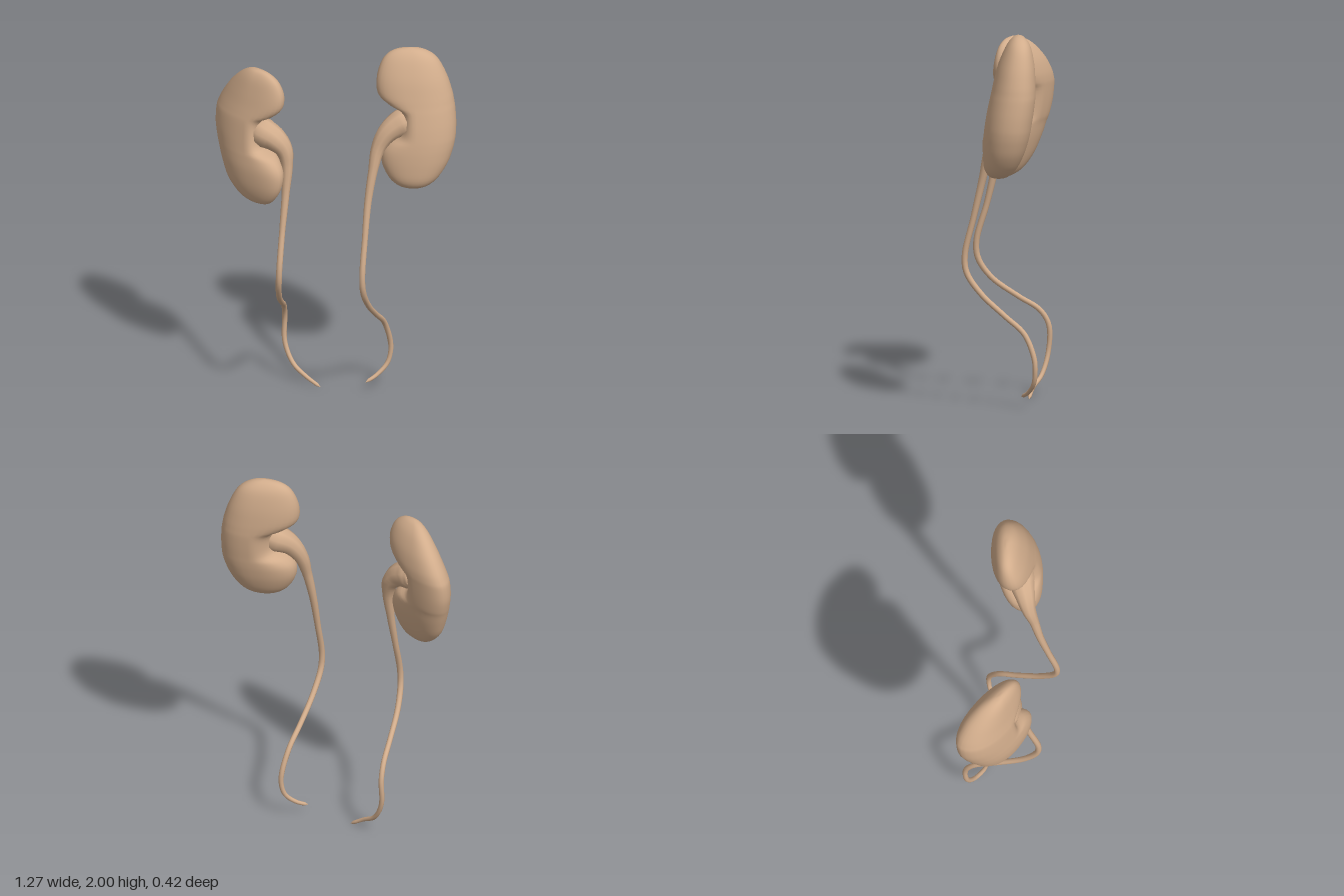
import * as THREE from 'three';
import { mergeVertices } from 'three/addons/utils/BufferGeometryUtils.js';

// Bean-shaped body from stacked oval sections.
// Each row: [y, inner x, outer x, centre z, half depth]; slope turns the sections about the pivot.
// The thickest line of the body bows outwards, so the notch only cuts the inner side.
function kidneyGeometry(rows, pivot, slope, bow, steps = 52, sides = 32) {
  const outline = new THREE.CatmullRomCurve3(
    rows.map(([y, a, b]) => new THREE.Vector3(a, y, b)), false, 'catmullrom', 0.5);
  const depth = new THREE.CatmullRomCurve3(
    rows.map(([, , , z, d]) => new THREE.Vector3(z, d, 0)), false, 'catmullrom', 0.5);
  const top = rows[0][1];
  const bottom = rows[rows.length - 1][1];
  const full = (s) => Math.sign(s) * Math.abs(s) ** 0.92;
  const positions = [];
  const index = [];
  for (let i = 0; i <= steps; i++) {
    const t = i / steps;
    const o = outline.getPoint(t);
    const d = depth.getPoint(t);
    const ridge = THREE.MathUtils.lerp(top, bottom, t) + bow * Math.sin(Math.PI * t);
    const left = Math.min(o.x, o.z);
    const right = Math.max(o.x, o.z);
    for (let j = 0; j < sides; j++) {
      const a = (j / sides) * Math.PI * 2;
      const c = full(Math.cos(a));
      const x = ridge + c * (c > 0 ? right - ridge : ridge - left);
      positions.push(x, o.y, d.x + d.y * full(Math.sin(a)) + slope * (x - pivot));
      if (i === steps) continue;
      const p = i * sides + j;
      const q = i * sides + ((j + 1) % sides);
      if (i > 0) index.push(p, q, p + sides);
      if (i < steps - 1) index.push(q, q + sides, p + sides);
    }
  }
  const geometry = new THREE.BufferGeometry();
  geometry.setAttribute('position', new THREE.Float32BufferAttribute(positions, 3));
  geometry.setIndex(index);
  const merged = mergeVertices(geometry, 1e-5);
  merged.computeVertexNormals();
  return merged;
}

// Tube whose radius follows the fourth number of each point: [x, y, z, radius]
function taperedTube(points, steps = 90, sides = 10) {
  const curve = new THREE.CatmullRomCurve3(points.map(([x, y, z]) => new THREE.Vector3(x, y, z)));
  const geometry = new THREE.TubeGeometry(curve, steps, 1, sides);
  const pos = geometry.attributes.position;
  const v = new THREE.Vector3();
  for (let i = 0; i <= steps; i++) {
    const u = i / steps;
    const centre = curve.getPointAt(u);
    const t = curve.getUtoTmapping(u) * (points.length - 1);
    const k = Math.min(Math.floor(t), points.length - 2);
    const closed = i === 0 || i === steps;
    const r = closed ? 0.0005 : THREE.MathUtils.lerp(points[k][3], points[k + 1][3], t - k);
    for (let j = 0; j <= sides; j++) {
      const n = i * (sides + 1) + j;
      v.fromBufferAttribute(pos, n).sub(centre).multiplyScalar(r).add(centre);
      pos.setXYZ(n, v.x, v.y, v.z);
    }
  }
  geometry.deleteAttribute('uv');
  geometry.deleteAttribute('normal');
  const merged = mergeVertices(geometry, 1e-5);
  merged.computeVertexNormals();
  return merged;
}

const leftKidney = [
  [2.0, 0.395, 0.395, -0.12, 0],
  [1.985, 0.31, 0.465, -0.12, 0.033],
  [1.94, 0.255, 0.53, -0.117, 0.065],
  [1.85, 0.225, 0.58, -0.106, 0.094],
  [1.76, 0.23, 0.61, -0.096, 0.109],
  [1.71, 0.28, 0.621, -0.09, 0.115],
  [1.67, 0.355, 0.628, -0.084, 0.119],
  [1.6, 0.37, 0.635, -0.072, 0.122],
  [1.54, 0.355, 0.636, -0.062, 0.122],
  [1.5, 0.295, 0.633, -0.056, 0.121],
  [1.45, 0.262, 0.623, -0.048, 0.117],
  [1.38, 0.265, 0.6, -0.036, 0.106],
  [1.305, 0.305, 0.555, -0.02, 0.084],
  [1.262, 0.36, 0.5, -0.01, 0.048],
  [1.248, 0.43, 0.43, -0.008, 0],
];

const rightKidney = [
  [1.862, -0.385, -0.385, -0.005, 0],
  [1.85, -0.325, -0.437, -0.01, 0.03],
  [1.81, -0.272, -0.492, -0.02, 0.062],
  [1.74, -0.243, -0.552, -0.03, 0.09],
  [1.67, -0.25, -0.596, -0.032, 0.107],
  [1.62, -0.295, -0.62, -0.028, 0.115],
  [1.58, -0.36, -0.632, -0.022, 0.118],
  [1.5, -0.372, -0.634, -0.012, 0.119],
  [1.43, -0.355, -0.622, -0.002, 0.118],
  [1.39, -0.28, -0.612, 0.006, 0.115],
  [1.32, -0.238, -0.592, 0.016, 0.109],
  [1.23, -0.247, -0.558, 0.026, 0.09],
  [1.16, -0.285, -0.498, 0.032, 0.062],
  [1.127, -0.325, -0.435, 0.035, 0.03],
  [1.118, -0.375, -0.375, 0.036, 0],
];

const leftUreter = [
  [0.44, 1.62, -0.05, 0.06],
  [0.37, 1.605, -0.035, 0.076],
  [0.3, 1.56, 0.0, 0.056],
  [0.252, 1.48, 0.03, 0.039],
  [0.23, 1.36, 0.065, 0.026],
  [0.211, 1.2, 0.1, 0.02],
  [0.203, 1.0, 0.147, 0.016],
  [0.198, 0.8, 0.193, 0.016],
  [0.201, 0.71, 0.183, 0.016],
  [0.213, 0.6, 0.105, 0.015],
  [0.232, 0.49, -0.02, 0.014],
  [0.252, 0.4, -0.125, 0.014],
  [0.272, 0.28, -0.178, 0.014],
  [0.275, 0.21, -0.185, 0.013],
  [0.258, 0.14, -0.175, 0.012],
  [0.21, 0.085, -0.14, 0.011],
  [0.158, 0.055, -0.098, 0.009],
];

const rightUreter = [
  [-0.43, 1.53, -0.01, 0.06],
  [-0.36, 1.51, 0.03, 0.078],
  [-0.295, 1.483, 0.046, 0.065],
  [-0.245, 1.43, 0.05, 0.047],
  [-0.226, 1.35, 0.06, 0.031],
  [-0.228, 1.2, 0.086, 0.021],
  [-0.237, 1.0, 0.132, 0.016],
  [-0.242, 0.8, 0.187, 0.016],
  [-0.247, 0.71, 0.178, 0.016],
  [-0.258, 0.61, 0.11, 0.015],
  [-0.271, 0.51, -0.03, 0.014],
  [-0.281, 0.44, -0.14, 0.014],
  [-0.286, 0.36, -0.187, 0.014],
  [-0.285, 0.21, -0.183, 0.013],
  [-0.235, 0.102, -0.155, 0.012],
  [-0.16, 0.05, -0.12, 0.011],
  [-0.082, 0.001, -0.108, 0.009],
];

export function createModel() {
  const model = new THREE.Group();
  model.name = 'kidneysAndUreters';
  const tissue = new THREE.MeshStandardMaterial({ color: 0xd2ad8c });
  tissue.name = 'tan tissue';

  const add = (name, geometry) => {
    const mesh = new THREE.Mesh(geometry, tissue);
    mesh.name = name;
    model.add(mesh);
  };

  add('leftKidney', kidneyGeometry(leftKidney, 0.43, -0.16, 0.045));
  add('rightKidney', kidneyGeometry(rightKidney, -0.43, 0.47, -0.07));
  // Funnel-shaped pelvis running down into the thin ureter
  add('leftUreter', taperedTube(leftUreter));
  add('rightUreter', taperedTube(rightUreter));
  return model;
}
